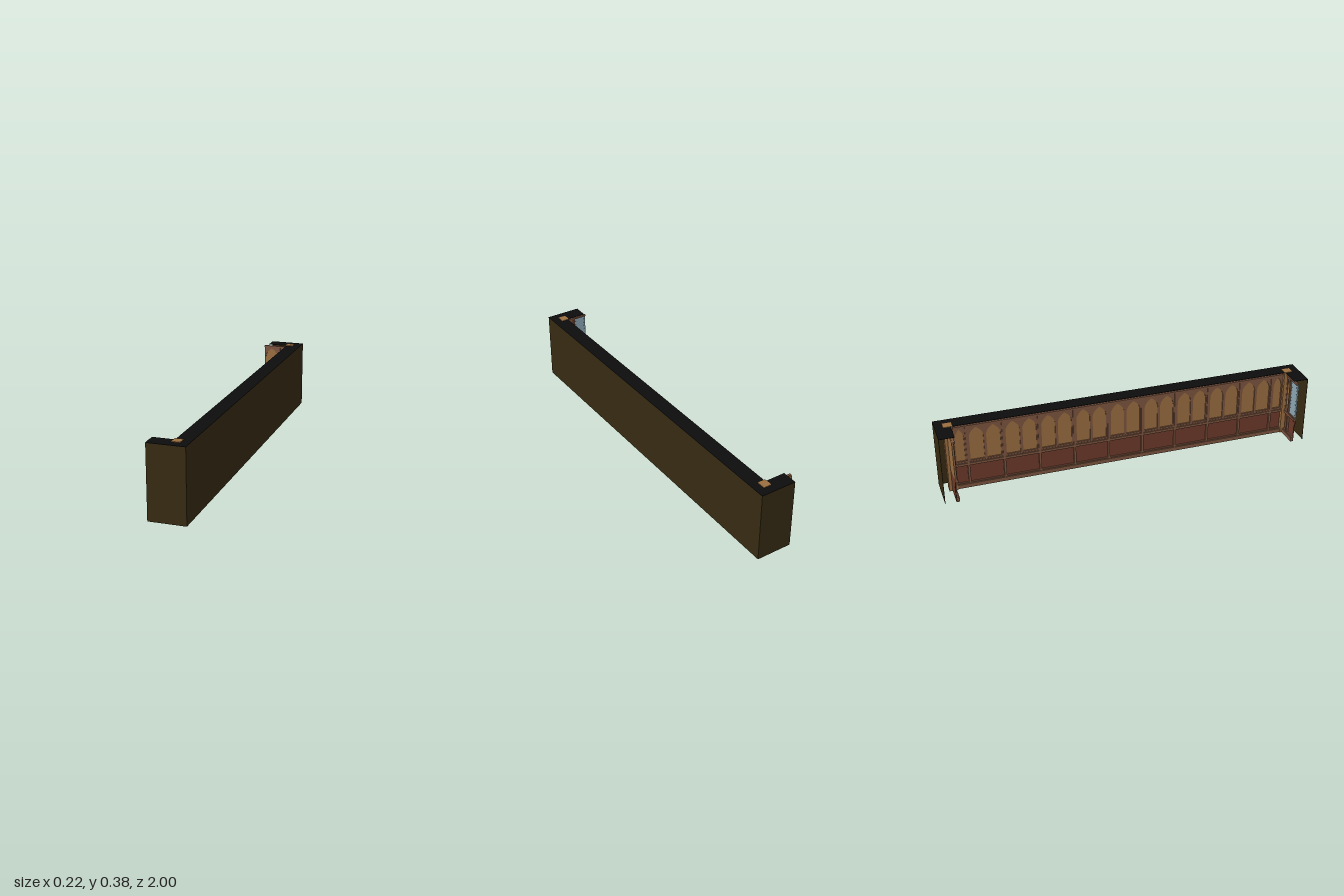
import * as THREE from 'three';

const mat = (name, color, side = THREE.FrontSide) => {
  const m = new THREE.MeshStandardMaterial({ color, side });
  m.name = name;
  return m;
};

export function createModel() {
  const outer = mat('dark olive shell', 0x362a12, THREE.DoubleSide);
  const roof = mat('black top', 0x0d0d0d, THREE.DoubleSide);
  const wood = mat('brown trim', 0x7d5540);
  const tan = mat('tan panel', 0x9a6e40);
  const red = mat('red brown panel', 0x6e3a2a);
  const glass = mat('pale blue glass', 0x8ca8b5);

  const model = new THREE.Group();
  model.name = 'panelledWall';

  // Box given by its limits
  const box = (parent, name, m, x0, x1, y0, y1, z0, z1) => {
    const mesh = new THREE.Mesh(new THREE.BoxGeometry(x1 - x0, y1 - y0, z1 - z0), m);
    mesh.position.set((x0 + x1) / 2, (y0 + y1) / 2, (z0 + z1) / 2);
    mesh.name = name;
    parent.add(mesh);
    return mesh;
  };
  // Flat outline with thickness
  const plate = (parent, name, m, shape, z, depth) => {
    const mesh = new THREE.Mesh(
      new THREE.ExtrudeGeometry(shape, { depth, bevelEnabled: false, curveSegments: 5 }), m);
    mesh.position.z = z;
    mesh.name = name;
    parent.add(mesh);
  };
  const polygon = pts => new THREE.Shape(pts.map(p => new THREE.Vector2(...p)));

  // Frame with a pointed arch opening
  const arch = (parent, u0, u1) => {
    const shape = polygon([[u0, 0.15], [u1, 0.15], [u1, 0.355], [u0, 0.355]]);
    const a = u0 + 0.007, b = u1 - 0.007, c = (u0 + u1) / 2;
    const hole = new THREE.Path();
    hole.moveTo(a, 0.157);
    hole.lineTo(a, 0.295);
    hole.quadraticCurveTo(a + 0.004, 0.325, c, 0.346);
    hole.quadraticCurveTo(b - 0.004, 0.325, b, 0.295);
    hole.lineTo(b, 0.157);
    shape.holes.push(hole);
    plate(parent, 'archFrame', wood, shape, 0, 0.006);
  };

  // Skirting, dado rail and cornice along a run
  const rails = (parent, u0, u1, topU0 = u0, topU1 = u1) => {
    box(parent, 'skirting', wood, u0, u1, 0, 0.022, 0, 0.014);
    box(parent, 'skirtingCap', wood, u0, u1, 0.022, 0.028, 0, 0.009);
    box(parent, 'dadoRail', wood, topU0, topU1, 0.13, 0.144, 0, 0.011);
    box(parent, 'dadoLip', wood, topU0, topU1, 0.144, 0.15, 0, 0.007);
    box(parent, 'cornice', wood, topU0, topU1, 0.355, 0.364, 0, 0.012);
  };

  // Hollow outer shell, open at the bottom
  const t = 0.002, H = 0.375;
  box(model, 'outerWall', outer, 0.11 - t, 0.11, 0, H - t, -1, 1);
  for (const s of [-1, 1]) {
    const z = s * (1 - t / 2);
    box(model, 'endWall', outer, -0.08, 0.11, 0, H - t, z - t / 2, z + t / 2);
    const zc = s * 0.96;
    box(model, 'endTop', roof, -0.08, 0.11, H - t, H, zc - 0.04, zc + 0.04);
    // Corner post
    box(model, 'cornerPost', tan, 0.025, 0.068, 0, 0.378, s * 0.935 - 0.023, s * 0.935 + 0.023);
  }
  box(model, 'longTop', roof, 0.03, 0.11, H - t, H, -0.92, 0.92);

  // Long inner run, facing -x
  const run = new THREE.Group();
  run.name = 'longPanelling';
  run.rotation.y = -Math.PI / 2;
  run.position.x = 0.045;
  model.add(run);
  box(run, 'lowerPanel', red, -0.93, 0.93, 0, 0.135, -0.004, 0);
  box(run, 'upperPanel', tan, -0.93, 0.93, 0.135, 0.373, -0.004, 0);
  rails(run, -0.92, 0.92);
  const bay = 0.188, stile = 0.006;
  for (let i = 0; i <= 9; i++) {
    const u = (i - 4.5) * bay;
    box(run, 'stile', wood, u - stile, u + stile, 0, 0.364, 0, 0.011);
    if (i === 9) break;
    arch(run, u + stile, u + bay / 2);
    arch(run, u + bay / 2, u + bay - stile);
  }
  for (const s of [-1, 1]) arch(run, s * 0.882 - 0.03, s * 0.882 + 0.03);

  // Short return runs; each widens above the dado
  const returnRun = (name, ext, facing) => {
    const g = new THREE.Group();
    g.name = name;
    g.position.z = -facing * 0.938;
    if (facing < 0) g.rotation.y = Math.PI;
    model.add(g);
    const U = x => x * facing;
    const lo = (a, b) => [Math.min(U(a), U(b)), Math.max(U(a), U(b))];
    plate(g, 'lowerPanel', red, polygon([[U(0.045), 0], [U(-0.082), 0], [U(-0.082), 0.09],
      [U(ext), 0.128], [U(ext), 0.135], [U(0.045), 0.135]]), -0.004, 0.004);
    rails(g, ...lo(0.04, -0.084), ...lo(0.04, ext));
    box(g, 'stile', wood, ...lo(-0.012, -0.022), 0, 0.362, 0, 0.011);
    arch(g, ...lo(0.03, -0.012));
    return { g, lo };
  };

  const back = returnRun('backReturn', -0.11, 1);
  box(back.g, 'upperPanel', tan, ...back.lo(0.045, -0.11), 0.135, 0.362, -0.004, 0);
  arch(back.g, ...back.lo(-0.022, -0.11));

  const front = returnRun('frontReturn', -0.094, -1);
  box(front.g, 'upperPanel', tan, ...front.lo(0.045, -0.02), 0.135, 0.362, -0.004, 0);
  box(front.g, 'windowGlass', glass, ...front.lo(-0.02, -0.093), 0.135, 0.356, -0.004, 0.003);
  // Small studs along the window edges
  for (const x of [-0.03, -0.084]) {
    for (let i = 0; i < 9; i++) {
      const y = 0.165 + i * 0.021;
      box(front.g, 'windowStud', wood, ...front.lo(x - 0.001, x + 0.001), y, y + 0.003, 0.003, 0.005);
    }
  }
  return model;
}
